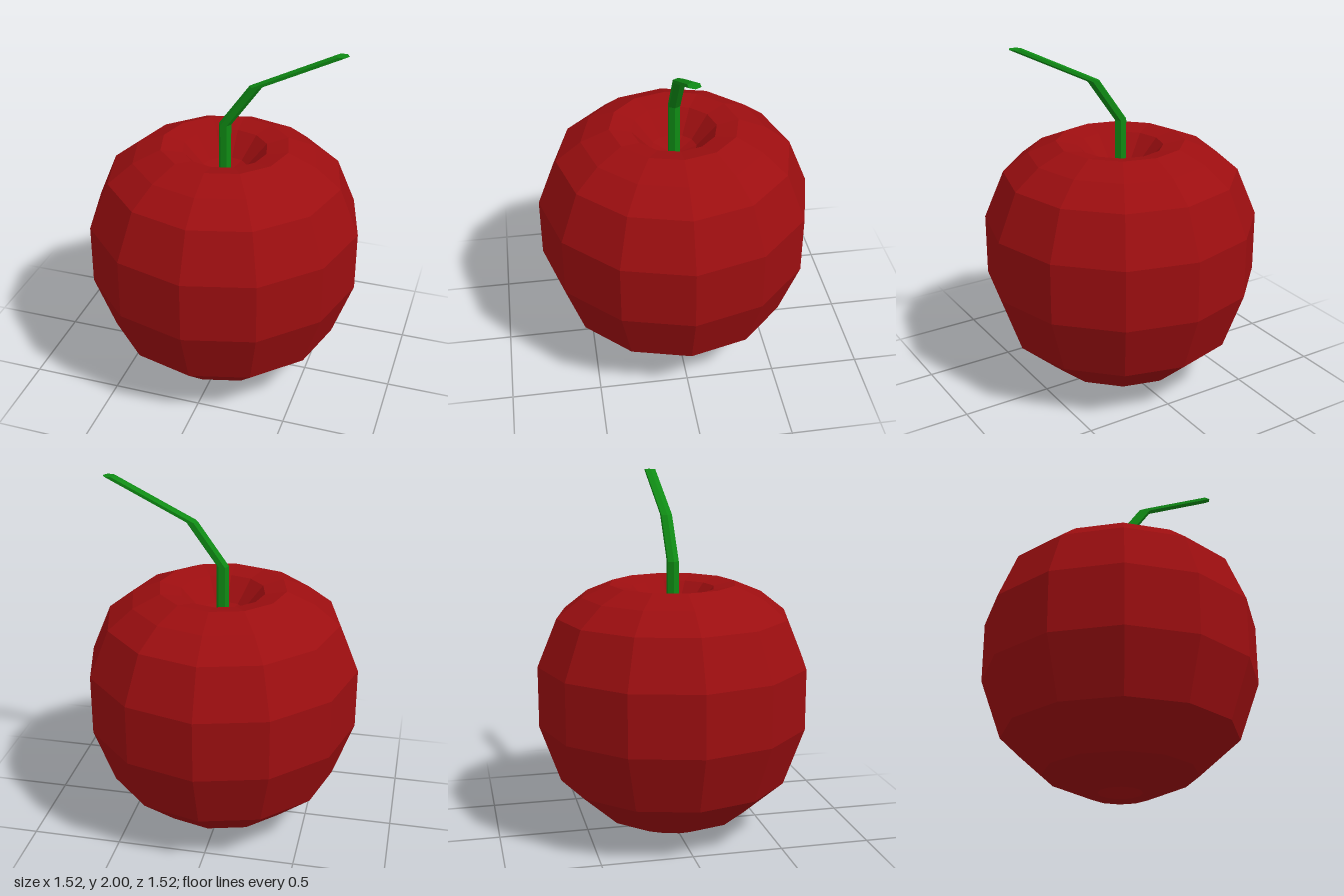
import * as THREE from 'three';

// Round body: a 12-sided turned profile with a hollow at both ends
function makeFruit() {
  const profile = [
    [0, 0.1], [0.06, 0.07], [0.12, 0.015], [0.17, 0],
    [0.42, 0.11], [0.645, 0.31], [0.76, 0.635], [0.76, 0.975],
    [0.65, 1.24], [0.51, 1.35], [0.355, 1.415],
    [0.235, 1.39], [0.125, 1.27], [0, 1.22],
  ].map(([r, y]) => new THREE.Vector2(r, y));
  const material = new THREE.MeshStandardMaterial({ color: 0x9c0e10, flatShading: true });
  const mesh = new THREE.Mesh(new THREE.LatheGeometry(profile, 12), material);
  mesh.name = 'fruit';
  return mesh;
}

// Bent stem: a hexagonal column whose level rings are shifted along the path
function makeStem() {
  const path = [[0, 1.2], [0, 1.535], [0.17, 1.775], [0.62, 2]];
  const last = path.length - 1;
  const geometry = new THREE.CylinderGeometry(0.035, 0.035, last, 6, last);
  geometry.rotateY(Math.PI / 2);
  const pos = geometry.attributes.position;
  for (let i = 0; i < pos.count; i++) {
    const [x, y] = path[Math.round(pos.getY(i) + last / 2)];
    pos.setX(i, pos.getX(i) + x);
    pos.setY(i, y);
  }
  geometry.computeVertexNormals();
  const material = new THREE.MeshStandardMaterial({ color: 0x0f8a14, flatShading: true });
  const mesh = new THREE.Mesh(geometry, material);
  mesh.name = 'stem';
  return mesh;
}

export function createModel() {
  const group = new THREE.Group();
  group.name = 'apple';
  group.add(makeFruit(), makeStem());
  return group;
}
